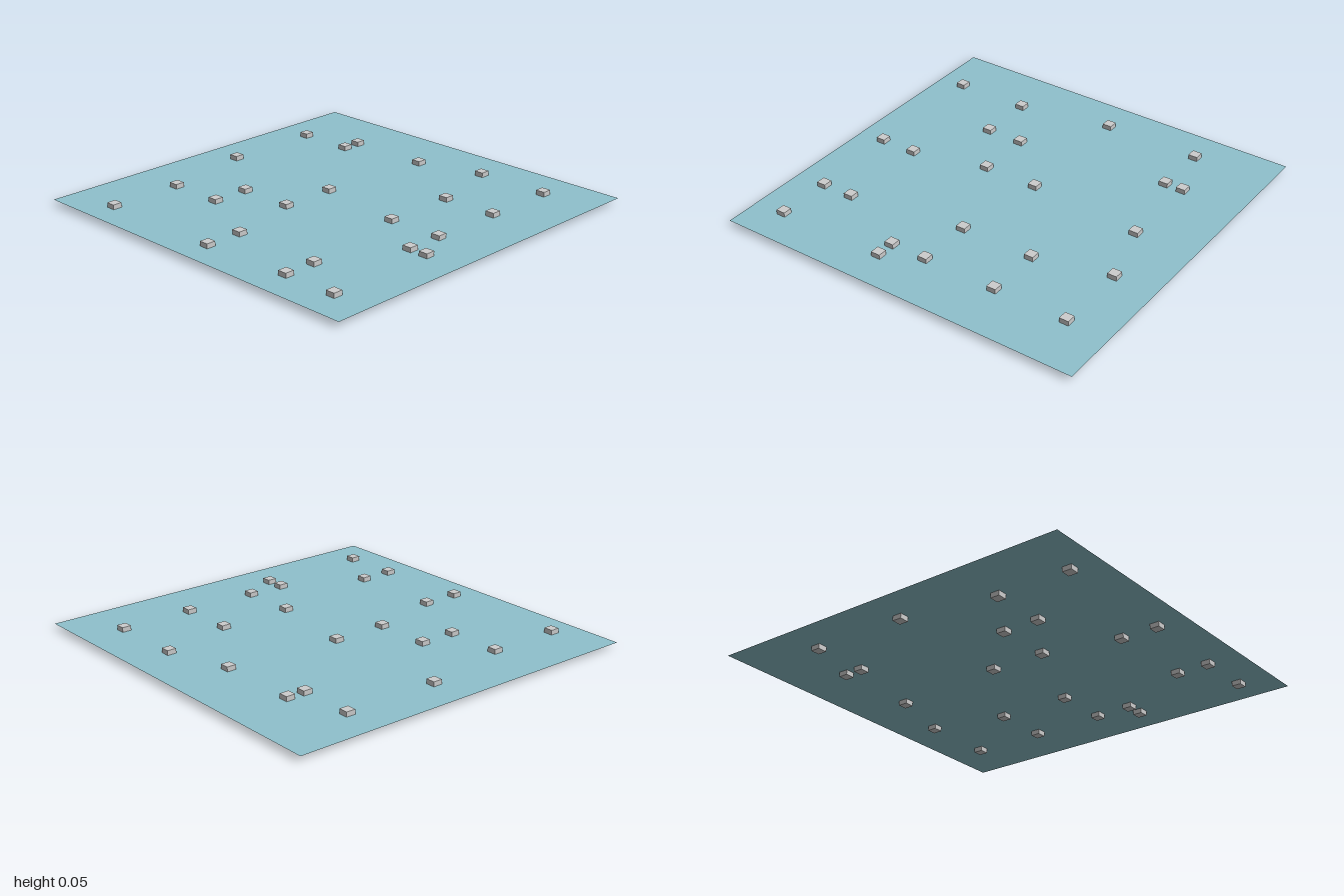
import * as THREE from 'three';

const SIZE = 0.05; // edge of each marker cube

// Rows of corner markers: z, then the x positions on that row
const ROWS = [
  [-0.775, [0.3, 0.7]],
  [-0.675, [-0.5, -0.05]],
  [-0.575, [-0.8, -0.5]],
  [-0.375, [0.4, 0.7]],
  [-0.05, [-0.8, -0.1]],
  [0.025, [0.4, 0.7]],
  [0.225, [0.7, 0.8]],
  [0.25, [-0.4, -0.1]],
  [0.45, [-0.7, -0.4]],
  [0.65, [0, 0.5]],
  [0.825, [0.5, 0.8]],
  [0.85, [-0.7, 0]],
];

export function createModel() {
  const model = new THREE.Group();
  model.name = 'markedPlane';

  const teal = new THREE.MeshStandardMaterial({ color: 0x8fc1cc, side: THREE.DoubleSide });
  teal.name = 'paleTeal';
  const grey = new THREE.MeshStandardMaterial({ color: 0xcccccc });
  grey.name = 'lightGrey';

  // Flat sheet passing through the middle of the markers
  const sheet = new THREE.Mesh(new THREE.PlaneGeometry(2, 2).rotateX(-Math.PI / 2), teal);
  sheet.name = 'groundSheet';
  sheet.position.y = SIZE / 2;
  model.add(sheet);

  // Small cubes, half above and half below the sheet
  const markers = new THREE.Group();
  markers.name = 'cornerMarkers';
  const cube = new THREE.BoxGeometry(SIZE, SIZE, SIZE);
  for (const [z, xs] of ROWS) {
    for (const x of xs) {
      const marker = new THREE.Mesh(cube, grey);
      marker.name = 'cornerMarker';
      marker.position.set(x, SIZE / 2, z);
      markers.add(marker);
    }
  }
  model.add(markers);

  return model;
}
